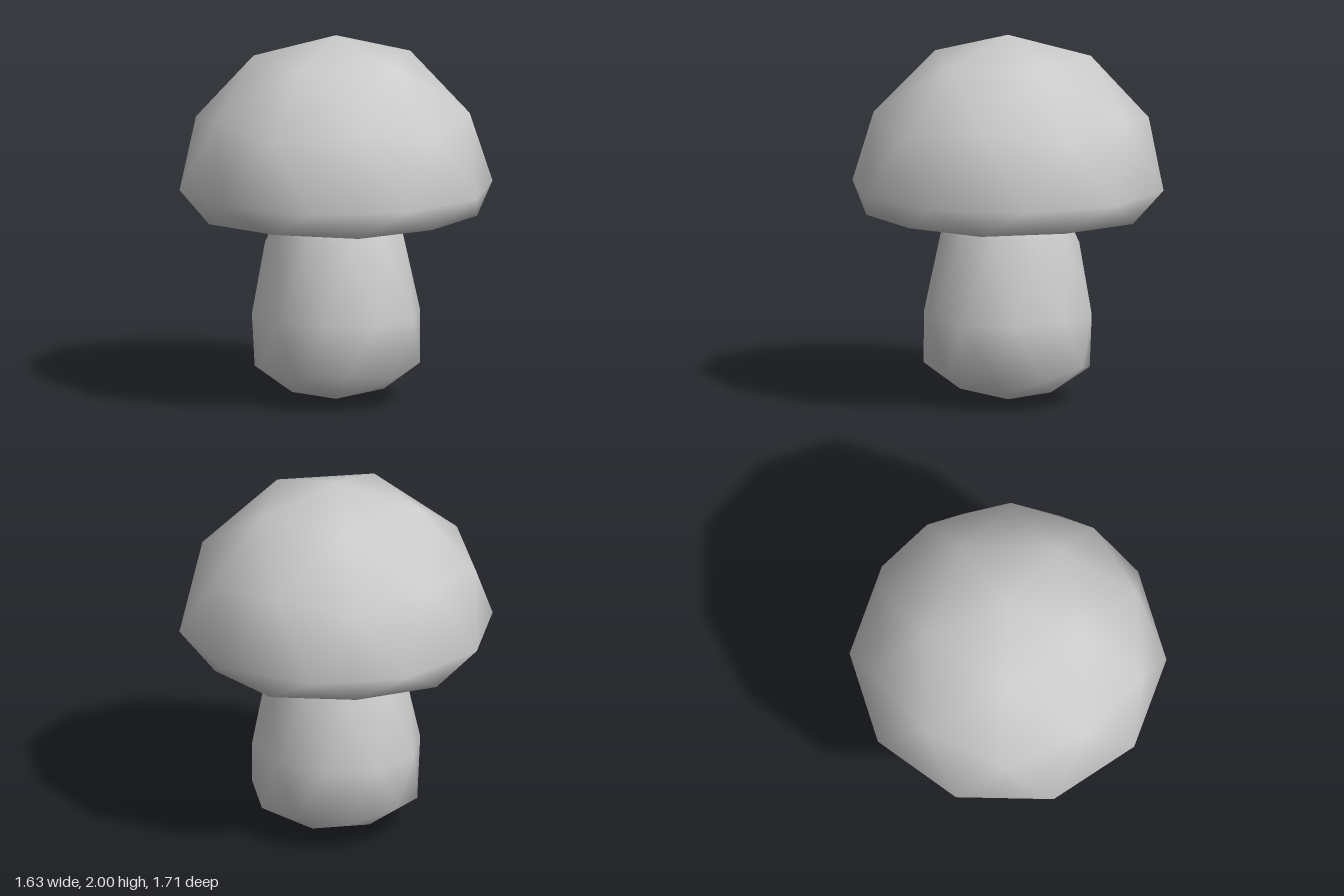
import * as THREE from 'three';
import { mergeVertices } from 'three/addons/utils/BufferGeometryUtils.js';

// Heights of the nine vertex rings of a pole-up, once-divided icosahedron
const LEVELS = [1, 0.851, 0.526, 0.447, 0, -0.447, -0.526, -0.851, -1];

// Reshape the icosphere: each ring gets [x radius, height, optional z radius]
function ringedSphere(rings) {
  let geo = new THREE.IcosahedronGeometry(1, 1);
  geo.deleteAttribute('normal');
  geo.deleteAttribute('uv');
  geo = mergeVertices(geo, 1e-3);
  // stand it on a vertex
  geo.rotateZ(-Math.atan(2 / (1 + Math.sqrt(5))));
  const pos = geo.attributes.position;
  for (let i = 0; i < pos.count; i++) {
    const y = pos.getY(i);
    let level = 0;
    LEVELS.forEach((l, k) => {
      if (Math.abs(l - y) < Math.abs(LEVELS[level] - y)) level = k;
    });
    const [rx, height, rz = rx] = rings[level];
    const angle = Math.atan2(pos.getZ(i), pos.getX(i));
    pos.setXYZ(i, rx * Math.cos(angle), height, rz * Math.sin(angle));
  }
  geo.computeVertexNormals();
  return geo;
}

export function createModel() {
  const group = new THREE.Group();
  group.name = 'mushroom';
  const material = new THREE.MeshStandardMaterial({ color: 0xcccccc });

  // Domed cap with a flat rim and a hollow underside
  const cap = new THREE.Mesh(ringedSphere([
    [0, 2], [0.45, 1.875], [0.73, 1.595], [0.765, 1.53], [0.855, 1.175],
    [0.77, 1.03], [0.73, 1.03], [0.45, 1.2], [0, 1.25],
  ]), material);
  cap.name = 'cap';

  // Bulbous stem narrowing into the cap
  const stem = new THREE.Mesh(ringedSphere([
    [0, 1.23], [0.24, 1.17], [0.37, 0.93, 0.355], [0.387, 0.855], [0.48, 0.48, 0.445],
    [0.46, 0.215], [0.44, 0.17, 0.45], [0.255, 0.063, 0.27], [0, 0],
  ]), material);
  stem.name = 'stem';

  group.add(cap, stem);
  return group;
}
